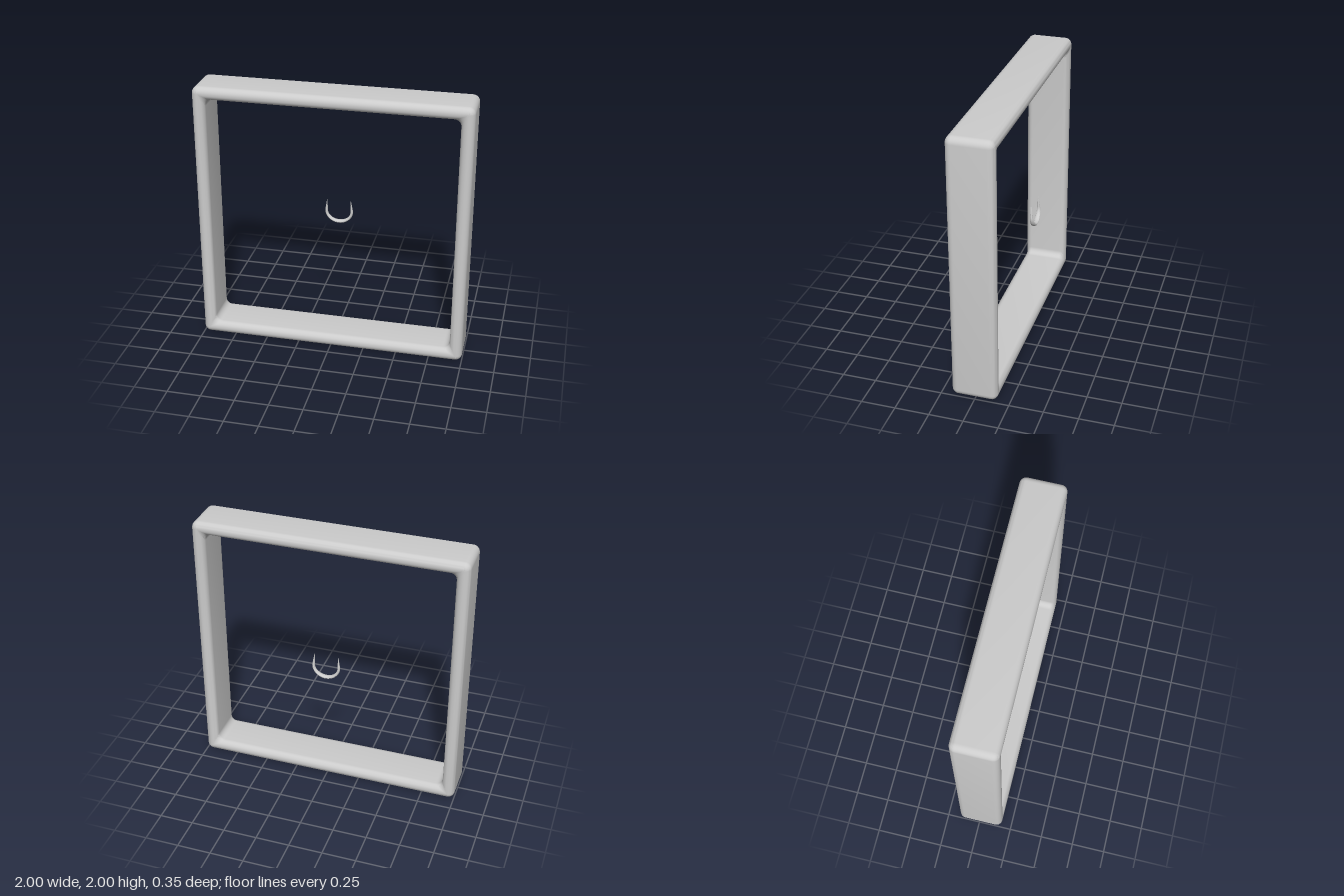
import * as THREE from 'three';
import { toCreasedNormals } from 'three/addons/utils/BufferGeometryUtils.js';

const material = new THREE.MeshStandardMaterial({ color: 0xcccccc, side: THREE.DoubleSide });

// Skin a list of equal-length closed loops of [x, y, z]; wrap joins last to first.
function loft(loops, wrap) {
  const n = loops[0].length, index = [];
  const rows = wrap ? loops.length : loops.length - 1;
  for (let i = 0; i < rows; i++) {
    const k = (i + 1) % loops.length;
    for (let j = 0; j < n; j++) {
      const l = (j + 1) % n;
      index.push(i * n + j, i * n + l, k * n + l, i * n + j, k * n + l, k * n + j);
    }
  }
  const g = new THREE.BufferGeometry();
  g.setAttribute('position', new THREE.Float32BufferAttribute(loops.flat(2), 3));
  g.setIndex(index);
  return toCreasedNormals(g, 0.6);
}

// Rounded square loop of half-size h and corner radius r, centred on y = 1.
function squareLoop(h, r, z) {
  const pts = [], steps = 8;
  for (let c = 0; c < 4; c++) {
    const a0 = c * Math.PI / 2;
    const cx = (c === 0 || c === 3 ? 1 : -1) * (h - r);
    const cy = (c < 2 ? 1 : -1) * (h - r);
    for (let i = 0; i <= steps; i++) {
      const a = a0 + (i / steps) * Math.PI / 2;
      pts.push([cx + r * Math.cos(a), 1 + cy + r * Math.sin(a), z]);
    }
  }
  return pts;
}

// Square frame: both rims are rounded, the two roundings meeting at a fine ridge.
function frameGeometry() {
  const outer = 1, inner = 0.905, r = 0.0475, zFront = 0.175, zBack = -0.16, steps = 8;
  const loops = [];
  const arc = (outside, front, from, to) => {
    for (let i = 0; i <= steps; i++) {
      const a = (from + (to - from) * i / steps) * Math.PI / 2;
      const d = r * (1 - Math.cos(a));      // distance in from the side wall
      const up = r * (1 - Math.sin(a));     // distance back from the rim
      const h = outside ? outer - d : inner + d;
      loops.push(squareLoop(h, Math.max(0.0005, r + 0.003 - d), front ? zFront - up : zBack + up));
    }
  };
  arc(true, false, 1, 0);
  arc(true, true, 0, 1);
  arc(false, true, 1, 0);
  arc(false, false, 0, 1);
  return loft(loops, true);
}

// U-shaped hook, tapering to its two tips.
function hookGeometry() {
  const loops = [], steps = 48;
  for (let i = 0; i <= steps; i++) {
    const t = i / steps * 2 - 1, s = Math.abs(t), side = Math.sign(t);
    let x, y, nx, ny, w;
    if (s < 0.7) {                          // lower half ring
      const a = (s / 0.7) * Math.PI / 2;
      nx = side * Math.sin(a); ny = -Math.cos(a);
      w = 0.012 - 0.002 * s / 0.7;
      x = 0.096 * nx; y = 0.993 + 0.086 * ny;
    } else {                                // straight arms
      const u = (s - 0.7) / 0.3;
      nx = side; ny = 0;
      w = 0.010 * (1 - u) + 0.0008;
      x = side * (0.096 - 0.006 * u); y = 0.993 + 0.09 * u;
    }
    const drop = THREE.MathUtils.clamp((1.083 - y) / 0.176, 0, 1);
    const zc = -0.146 - 0.010 * drop;
    const depth = 0.004 + 0.015 * drop;
    const loop = [];
    for (let j = 0; j < 12; j++) {
      const a = j / 12 * Math.PI * 2;
      loop.push([x + nx * w * Math.cos(a), y + ny * w * Math.cos(a), zc + depth * Math.sin(a)]);
    }
    loops.push(loop);
  }
  return loft(loops, false);
}

export function createModel() {
  const group = new THREE.Group();
  const parts = { frame: frameGeometry(), hook: hookGeometry() };
  for (const [name, geometry] of Object.entries(parts)) {
    const mesh = new THREE.Mesh(geometry, material);
    mesh.name = name;
    group.add(mesh);
  }
  return group;
}
